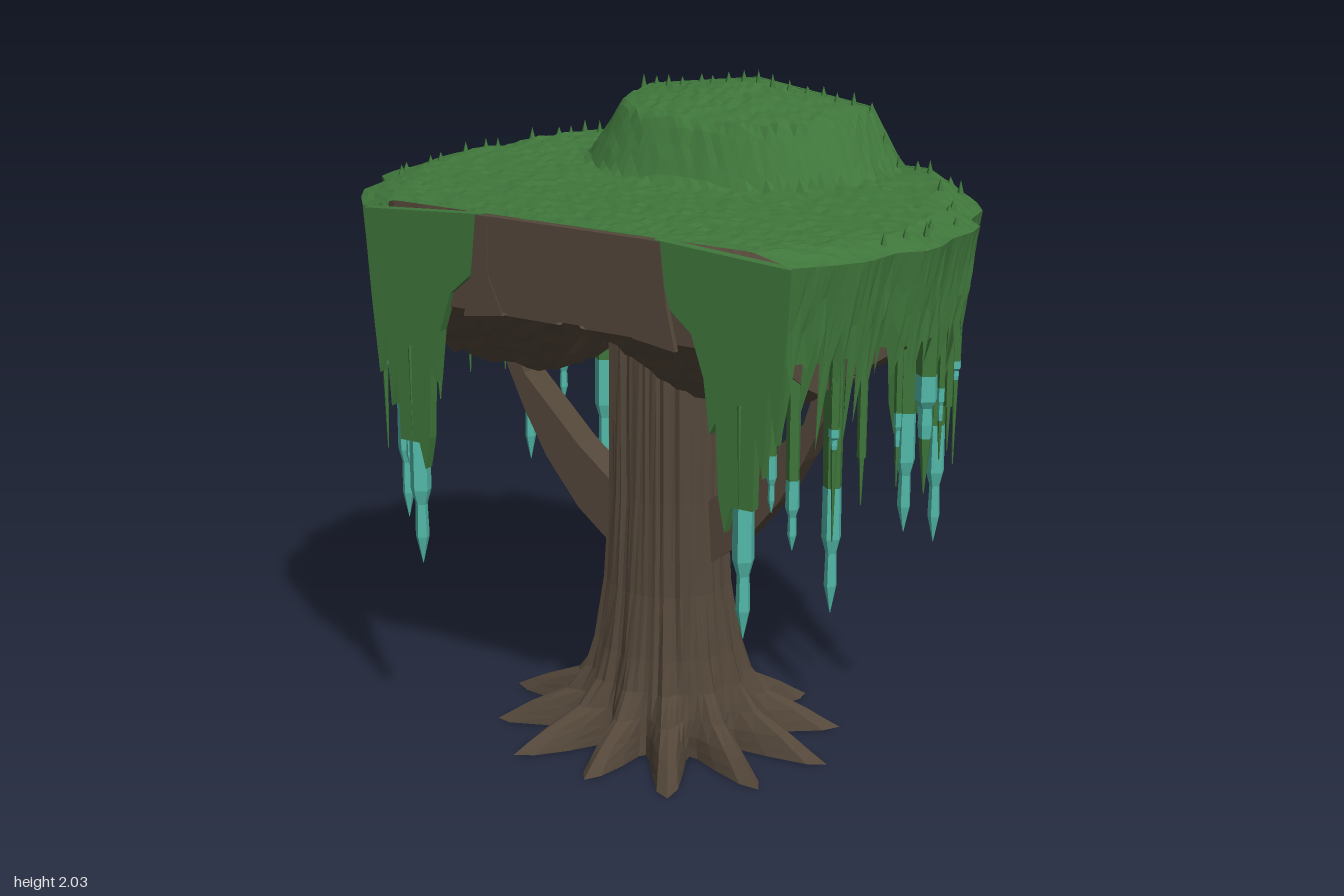
import * as THREE from 'three';

const mat = (name, color) =>
  Object.assign(new THREE.MeshStandardMaterial({ color, side: THREE.DoubleSide, flatShading: true }), { name });

const clamp = THREE.MathUtils.clamp;
// repeatable pseudo-random value in 0..1
const hash = (n) => { const s = Math.sin(n * 127.1 + 11.7) * 43758.5453; return s - Math.floor(s); };
// linear interpolation in a table of [key, value] pairs
function table(rows, k) {
  for (let i = 1; i < rows.length; i++) {
    const [k0, v0] = rows[i - 1], [k1, v1] = rows[i];
    if (k <= k1) return v0 + (v1 - v0) * clamp((k - k0) / (k1 - k0), 0, 1);
  }
  return rows[rows.length - 1][1];
}

// grid surface; its front faces along dP/du x dP/dv
function surface(nu, nv, fn) {
  const pos = [], idx = [];
  for (let i = 0; i <= nu; i++) for (let j = 0; j <= nv; j++) pos.push(...fn(i / nu, j / nv, i, j));
  for (let i = 0; i < nu; i++) for (let j = 0; j < nv; j++) {
    const a = i * (nv + 1) + j, b = a + nv + 1;
    idx.push(a, b, b + 1, a, b + 1, a + 1);
  }
  const g = new THREE.BufferGeometry();
  g.setAttribute('position', new THREE.Float32BufferAttribute(pos, 3));
  g.setIndex(idx);
  g.computeVertexNormals();
  return g;
}

// flat plate cut from an xy outline, between z0 and z0 + depth
function plate(points, z0, depth) {
  const shape = new THREE.Shape(points.map(([x, y]) => new THREE.Vector2(x, y)));
  return new THREE.ExtrudeGeometry(shape, { depth, bevelEnabled: false }).translate(0, 0, z0);
}

// half width of the canopy at a given z
const WIDTH = [[0, 0.935], [0.1, 0.95], [0.18, 0.935], [0.23, 0.88], [0.36, 0.86], [0.45, 0.8], [0.54, 0.72]];
const halfWidth = (z) => table(WIDTH, Math.abs(z));

// height of the leafy top, including the mound at the back
function topHeight(x, z) {
  const d = Math.pow(Math.pow(Math.abs(x) / 0.51, 2.5) + Math.pow((z + 0.54) / 0.48, 2.5), 0.4);
  const edge = clamp((halfWidth(z) - Math.abs(x)) / 0.12, 0, 1);
  const base = 1.705 + 0.03 * edge + 0.035 * clamp(-z / 0.54, 0, 1) * edge;
  return base + 0.17 * clamp((1 - d) / 0.21, 0, 1) + 0.055 * clamp(1 - d / 0.78, 0, 1);
}

// height of the two-lobed woody underside
function bellyHeight(x, z) {
  const ax = Math.abs(x), az = Math.abs(z);
  return Math.max(1.19, 1.19 + (az - 0.27) * 0.98, 1.19 + (ax - 0.56) * 0.75, 1.47 - ax * 1.25);
}

export function createModel() {
  const model = new THREE.Group();
  model.name = 'mossyTree';
  const leaf = mat('leafGreen', 0x3f763b);
  const bark = mat('barkBrown', 0x54473a);
  const glow = mat('vineTeal', 0x52b9a9);

  const add = (name, geometry, material, parent = model) => {
    const mesh = new THREE.Mesh(geometry, material);
    mesh.name = name;
    parent.add(mesh);
    return mesh;
  };

  // trunk with bark ridges, flaring into a star of roots
  const CORE = [[0, 0.26], [0.065, 0.255], [0.12, 0.25], [0.2, 0.23], [0.3, 0.212], [0.5, 0.19], [0.8, 0.175], [1.5, 0.172]];
  const ROOT = [[0, 0.3], [0.065, 0.19], [0.12, 0.075], [0.2, 0.03], [0.35, 0.008], [0.5, 0]];
  const levels = [0, 0.03, 0.065, 0.12, 0.2, 0.3, 0.5, 0.8, 1.15, 1.48];
  const sides = 96, roots = 12;
  const trunkPoint = (level, j) => {
    const k = j % sides, a = (k / sides) * Math.PI * 2, y = levels[level];
    const spike = Math.pow(0.5 + 0.5 * Math.cos(a * roots), 1.3);
    const rootLength = 0.75 + 0.25 * Math.max(hash(Math.round(k / 8) % roots), Math.abs(Math.cos(a)) ** 6);
    const ridge = (hash(k) - 0.5) * 0.018 + (hash(k + level * 31) - 0.5) * 0.006;
    const r = table(CORE, y) + table(ROOT, y) * spike * rootLength + ridge;
    return [Math.cos(a) * r * 1.02, y, -Math.sin(a) * r * 0.95];
  };
  add('trunk', surface(sides, levels.length - 1, (u, v, i, j) => trunkPoint(j, i)), bark);
  add('rootBase', surface(sides, 1, (u, v, i, j) => (j ? trunkPoint(0, i) : [0, 0, 0])), bark);

  // woody belly under the canopy and the wall around it
  add('belly', surface(36, 32, (u, v, i, j) => {
    const z = (v * 2 - 1) * 0.52, x = (u * 2 - 1) * halfWidth(z) * 0.87;
    const inner = i > 0 && i < 36 && j > 0 && j < 32;
    return [x, bellyHeight(x, z) + (inner ? hash(i * 41 + j) * 0.018 : 0), z];
  }), bark);
  for (const s of [1, -1]) {
    add('bellySide', surface(32, 1, (u, v) => {
      const z = (1 - u * 2) * 0.52 * s, x = s * halfWidth(z) * 0.87;
      return [x, v ? 1.7 : bellyHeight(x, z), z];
    }), bark);
    add('bellyEnd', surface(24, 1, (u, v) => {
      const z = 0.52 * s, x = (u * 2 - 1) * halfWidth(z) * 0.87 * s;
      return [x, v ? 1.7 : bellyHeight(x, z), z];
    }), bark);
  }

  // bare wood panels with flared posts, taller at the back
  for (const [s, top] of [[1, 1.727], [-1, 1.885]]) {
    const z = s > 0 ? 0.515 : -0.54;
    add('woodPanel', plate([[-0.33, 1.45], [0.33, 1.45], [0.31, top], [-0.31, top]], z, 0.025), bark);
    for (const m of [1, -1]) {
      const post = [[0.22, 1.44], [0.36, 1.42], [0.33, 1.55], [0.31, top], [0.27, top], [0.27, 1.55]];
      add('woodPost', plate(post.map(([x, y]) => [x * m, y]), s > 0 ? 0.525 : -0.543, 0.018), bark);
    }
  }

  // leafy top and its flat back wall
  add('canopyTop', surface(44, 64, (u, v, i, j) => {
    const z = (u * 2 - 1) * 0.54, x = (v * 2 - 1) * halfWidth(z);
    const inner = i > 0 && i < 44 && j > 0 && j < 64;
    return [x, topHeight(x, z) + (inner ? (hash(i * 67 + j) - 0.5) * 0.009 : 0), z];
  }), leaf);
  const wall = [[-0.72, 1.68], [0.72, 1.68]];
  for (let i = 24; i >= -24; i--) wall.push([i * 0.03, topHeight(i * 0.03, -0.54)]);
  add('canopyBack', plate(wall, -0.537, 0.008), leaf);

  // grass tufts along the back and the sides
  for (let i = 0; i < 44; i++) {
    const back = i < 26, m = i % 2 ? 1 : -1;
    const z = back ? -0.525 + hash(i) * 0.04 : -0.45 + (i - 26) * 0.04;
    const x = back ? (i / 25 - 0.5) * 1.36 : m * (halfWidth(z) - 0.03 - hash(i) * 0.1);
    const h = 0.025 + hash(i + 90) * 0.03;
    add('grassTuft', new THREE.ConeGeometry(0.014, h, 4).translate(x, topHeight(x, z) + h * 0.3, z), leaf);
  }

  // hanging vine: leafy strand from y1 to y2, coloured tip down to y3, optional leafy end to y4
  const vine = (parent, x, z, w, y1, y2, y3, y4) => {
    const strand = (name, ya, yb, ra, rb, material) =>
      add(name, new THREE.CylinderGeometry(ra, rb, ya - yb, 5).translate(x, (ya + yb) / 2, z), material, parent);
    strand('vineStrand', y1, y2, w * 1.15, w, leaf);
    const h = y2 - y3;
    if (h > 0) {
      const end = y4 ? w * 0.6 : 0.001;
      const profile = [[end, 0], [w * 0.7, h * 0.22], [w * 0.6, h * 0.48], [w * 1.05, h * 0.6], [w, h]];
      const tip = new THREE.LatheGeometry(profile.map(([r, y]) => new THREE.Vector2(r, y)), 5);
      add('vineTip', tip.translate(x, y3, z), glow, parent);
    }
    if (y4) strand('vineEnd', y3, y4, w * 0.6, 0.002, leaf);
  };

  // drapes, curtains, vines and braces on each side
  for (const m of [1, -1]) {
    const side = new THREE.Group();
    side.name = m > 0 ? 'leftFoliage' : 'rightFoliage';
    model.add(side);

    const brace = [[0.14, 0.58], [0.2, 0.61], [0.3, 0.69], [0.42, 0.84], [0.5, 0.98], [0.62, 1.24], [0.55, 1.26],
      [0.5, 1.1], [0.3, 0.9], [0.14, 0.77]];
    add('brace', plate(brace.map(([x, y]) => [x * m, y]), -0.05, 0.1), bark);

    const drape = [[0.29, 1.73], [0.34, 1.54], [0.41, 1.48], [0.45, 1.36], [0.47, 1.2], [0.49, 1.24], [0.5, 1.02],
      [0.52, 0.92], [0.54, 1.0], [0.61, 1.0], [0.615, 1.22], [0.64, 1.1], [0.655, 1.36], [0.68, 1.2], [0.7, 1.42], [0.72, 1.7]];
    for (const s of [1, -1]) {
      add('drape', plate(drape.map(([x, y]) => [x * m, y]), s > 0 ? 0.508 : -0.54, 0.032), leaf, side);
      vine(side, 0.565 * m, 0.508 * s, 0.032, 1.3, 1.0, 0.6);
      vine(side, 0.75 * m, 0.335 * s, 0.028, 1.5, 1.04, 0.66);
      vine(side, 0.67 * m, 0.42 * s, 0.02, 1.45, 1.07, 0.86);
      vine(side, 0.63 * m, 0.47 * s, 0.015, 1.4, 1.15, 0.98);
      vine(side, 0.85 * m, 0.14 * s, 0.012, 1.5, 1.22, 1.12, 1.0);
      vine(side, 0.78 * m, 0.39 * s, 0.016, 1.5, 1.23, 1.17, 0.9);
      vine(side, 0.81 * m, 0.28 * s, 0.014, 1.5, 1.12, 1.12, 0.98);
    }
    vine(side, 0.87 * m, 0, 0.033, 1.55, 1.3, 1.11, 0.94);

    // ragged curtain: alternate columns hang lower
    add('curtain', surface(84, 3, (u, v, i, j) => {
      const z = (u * 2 - 1) * 0.54, az = Math.abs(z);
      const long = az > 0.2 ? 0.24 : 0.1;
      const bottom = 1.43 - (az < 0.05 ? 0.1 : 0) - (i % 3 === 1 ? long * (0.25 + hash(i + 7)) : 0);
      const top = topHeight(halfWidth(z), z);
      const y = top + (bottom - top) * v;
      const bump = j > 0 ? (hash(i * 5 + j) - 0.6) * 0.02 : 0;
      return [m * (halfWidth(z) * (1 - 0.16 * (1.705 - y)) + bump), y, z];
    }), leaf, side);
  }
  return model;
}
